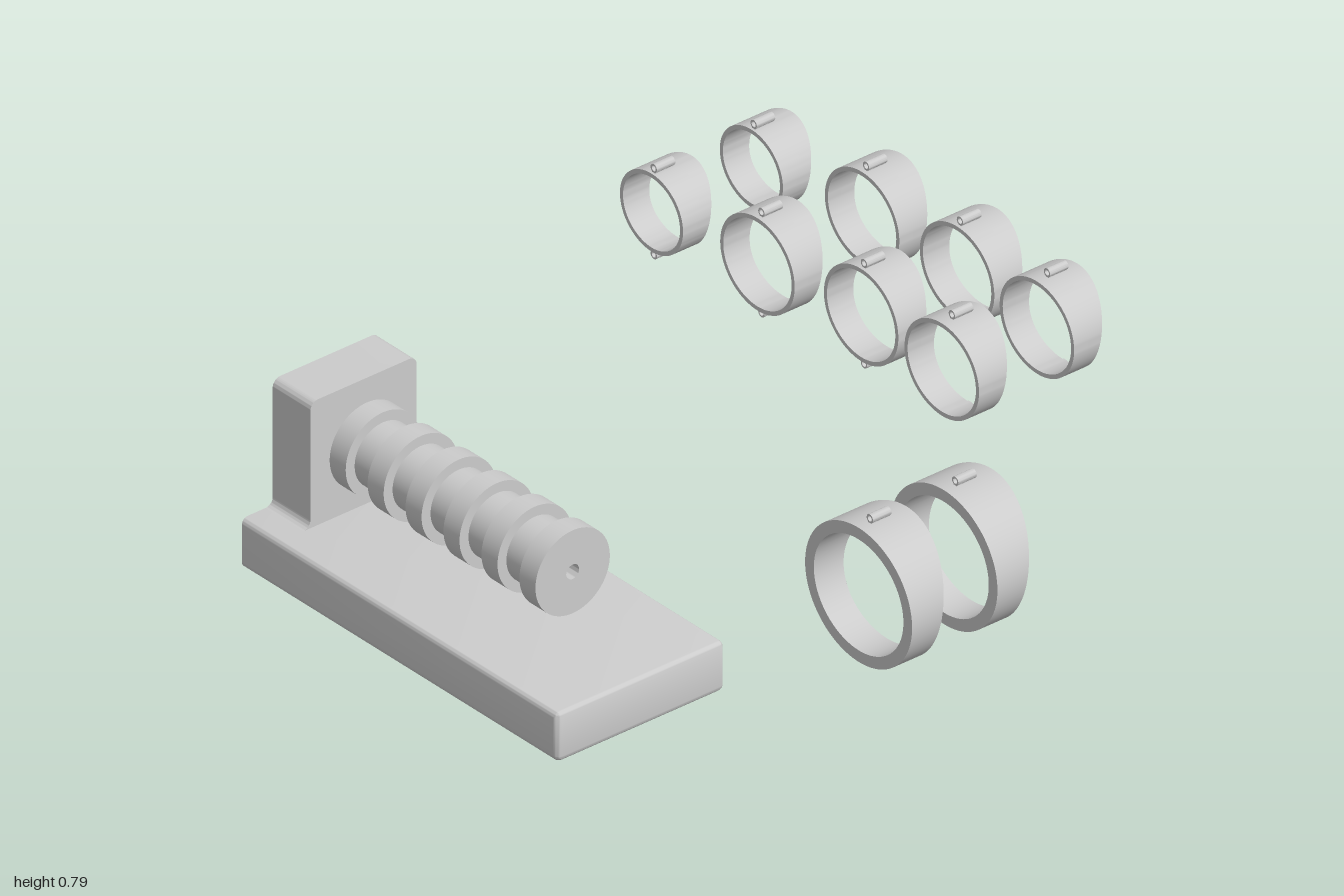
import * as THREE from 'three';
import { toCreasedNormals } from 'three/addons/utils/BufferGeometryUtils.js';
import { RoundedBoxGeometry } from 'three/addons/geometries/RoundedBoxGeometry.js';

const material = new THREE.MeshStandardMaterial({ color: 0xcccccc });

function part(name, geometry, crease = 0.6) {
  const mesh = new THREE.Mesh(toCreasedNormals(geometry, crease), material);
  mesh.name = name;
  return mesh;
}

// Flat annulus pushed along z from 0 to depth
function tube(rx, ry, wall, depth, segments) {
  const shape = new THREE.Shape();
  shape.absellipse(0, 0, rx, ry, 0, Math.PI * 2, false, 0);
  const hole = new THREE.Path();
  hole.absellipse(0, 0, rx - wall, ry - wall, 0, Math.PI * 2, true, 0);
  shape.holes.push(hole);
  return new THREE.ExtrudeGeometry(shape, { depth, bevelEnabled: false, curveSegments: segments });
}

// Base slab: rounded everywhere but on its flat left end
function makeBase() {
  const minX = -0.915, maxX = 0.425, extra = 0.025;
  const geo = new RoundedBoxGeometry(maxX - minX + extra, 0.16, 0.6, 4, 0.02);
  geo.translate((maxX + minX - extra) / 2, 0.08, 0.7);
  const pos = geo.attributes.position;
  for (let i = 0; i < pos.count; i++) pos.setX(i, Math.max(pos.getX(i), minX));
  return part('base', geo);
}

// Upright post: rounded top corners, fillets where it meets the base
function makePost() {
  const w = 0.19, bottom = 0.16, top = 0.563, r = 0.027, f = 0.025;
  const s = new THREE.Shape();
  s.moveTo(-w - f, bottom - 0.01);
  s.lineTo(w + f, bottom - 0.01);
  s.lineTo(w + f, bottom);
  s.absarc(w + f, bottom + f, f, -Math.PI / 2, -Math.PI, true);
  s.absarc(w - r, top - r, r, 0, Math.PI / 2, false);
  s.absarc(-w + r, top - r, r, Math.PI / 2, Math.PI, false);
  s.absarc(-w - f, bottom + f, f, 0, -Math.PI / 2, true);
  const geo = new THREE.ExtrudeGeometry(s, { depth: 0.16, bevelEnabled: false, curveSegments: 8 });
  geo.rotateY(Math.PI / 2).translate(-0.915, 0, 0.7);
  return part('post', geo);
}

// Spindle with six collars and a bored centre
function makeSpindle() {
  const core = 0.101, collar = 0.133, bore = 0.023, width = 0.068, pitch = 0.161, start = -0.741;
  const pts = [[0.07, -0.76], [0.07, start]];
  for (let i = 0; i < 6; i++) {
    const a = start + i * pitch;
    if (i > 0) pts.push([core, a]);
    pts.push([collar, a], [collar, a + width]);
    if (i < 5) pts.push([core, a + width]);
  }
  pts.push([bore, start + 5 * pitch + width], [bore, -0.7], [0, -0.7]);
  const geo = new THREE.LatheGeometry(pts.map(([x, y]) => new THREE.Vector2(x, y)), 64);
  geo.rotateZ(-Math.PI / 2).translate(0, 0.362, 0.7);
  return part('spindle', geo);
}

// Oval ring with a scooped back edge and an eyelet above and below
function makeRing(name, { x, y, z, rx, ry, wall, depth, scoop, eye }) {
  const group = new THREE.Group();
  group.name = name;
  group.position.set(x, y, z);

  const geo = tube(rx, ry, wall, 1, 48);
  const pos = geo.attributes.position;
  for (let i = 0; i < pos.count; i++) {
    const t = pos.getY(i) / ry;
    const back = -(depth + scoop * (t + 0.6) ** 2);
    pos.setZ(i, pos.getZ(i) > 0.5 ? 0 : back);
  }
  group.add(part('band', geo));

  const length = 0.066;
  for (const side of [1, -1]) {
    const eyelet = tube(0.0135, 0.0135, 0.005, length, 10);
    eyelet.translate(0, side * (ry + 0.0135), -eye - length);
    group.add(part(side > 0 ? 'topEyelet' : 'bottomEyelet', eyelet));
    const stem = new THREE.BoxGeometry(0.014, 0.01, length);
    stem.translate(0, side * ry, -eye - length / 2);
    group.add(part('eyeletStem', stem));
  }
  return group;
}

export function createModel() {
  const model = new THREE.Group();
  model.name = 'spindleStandWithRings';
  model.add(makeBase(), makePost(), makeSpindle());

  // Two large thick rings
  for (const z of [0.207, -0.098]) {
    model.add(makeRing('largeRing', {
      x: 0.76, y: 0.388, z, rx: 0.227, ry: 0.215, wall: 0.037, depth: 0.098, scoop: 0.029, eye: 0.04,
    }));
  }

  // Four thin rings, each in a front and a back row: x, y, rx, ry, eyelet inset, front z of both rows
  const thin = [
    [-0.857, 0.608, 0.134, 0.125, 0.008, [-0.415, -0.772]],
    [-0.48, 0.595, 0.158, 0.148, 0.014, [-0.476, -0.85]],
    [-0.084, 0.604, 0.158, 0.148, 0.01, [-0.513, -0.856]],
    [0.283, 0.61, 0.158, 0.148, 0.036, [-0.492, -0.832]],
  ];
  for (const [x, y, rx, ry, eye, rows] of thin) {
    for (const z of rows) {
      model.add(makeRing('thinRing', { x, y, z, rx, ry, wall: 0.013, depth: 0.088, scoop: 0.0222, eye }));
    }
  }
  return model;
}
